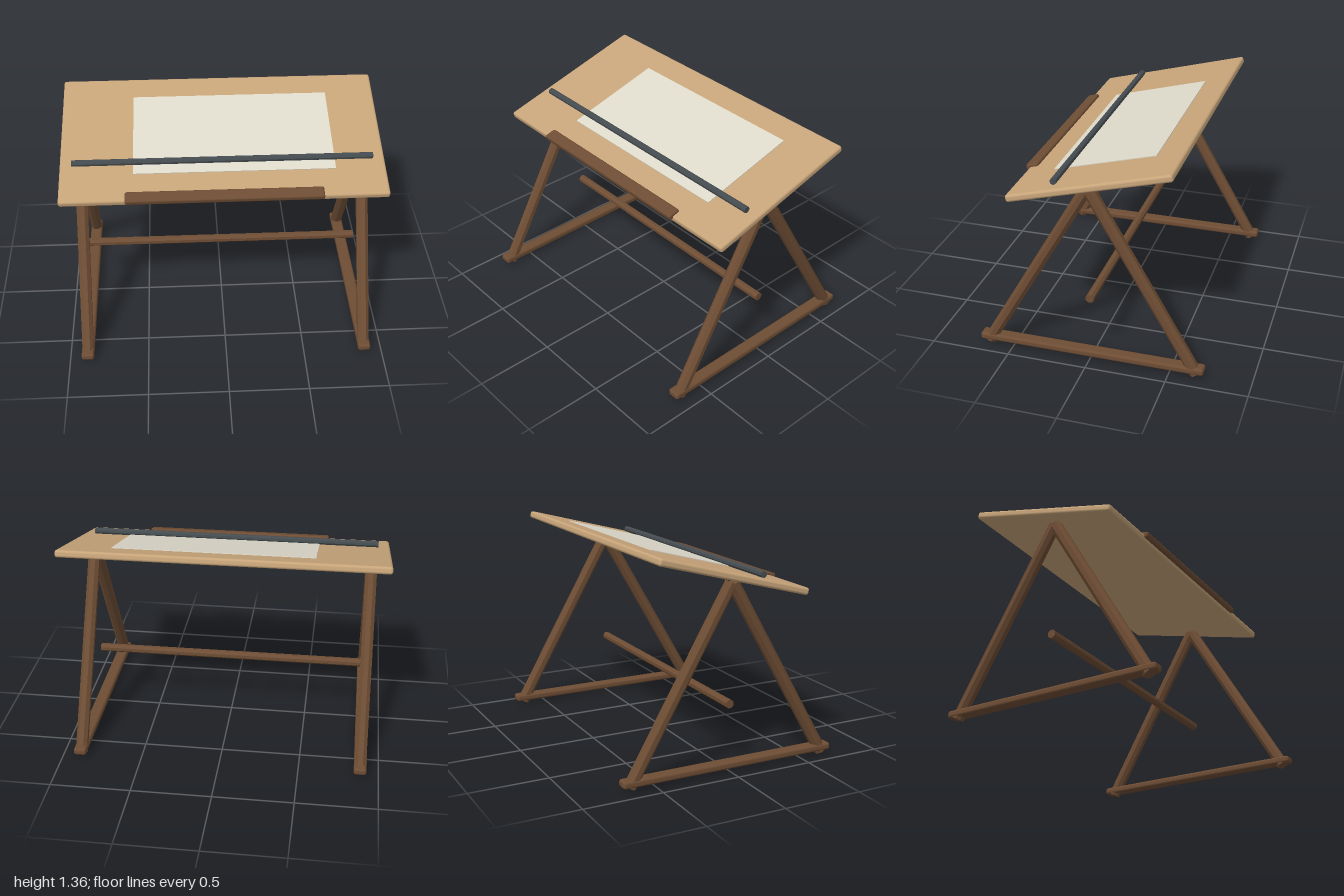
import * as THREE from 'three';
import { RoundedBoxGeometry } from 'three/addons/geometries/RoundedBoxGeometry.js';

const mat = (color, flatShading = false) => new THREE.MeshStandardMaterial({ color, flatShading });

export function createModel() {
  const model = new THREE.Group();
  const darkWood = mat(0x6e4d34);
  const darkWoodFlat = mat(0x6e4d34, true);
  const paleWood = mat(0xc8a57a);
  const paperWhite = mat(0xdedacb);
  const darkMetal = mat(0x454c50, true);

  const add = (parent, name, geometry, material, x, y, z) => {
    const mesh = new THREE.Mesh(geometry, material);
    mesh.name = name;
    mesh.position.set(x, y, z);
    parent.add(mesh);
    return mesh;
  };

  // Eight-sided rod between two points; apothem is half the width across flats
  const rod = (parent, name, a, b, apothem, material) => {
    const from = new THREE.Vector3(...a), to = new THREE.Vector3(...b);
    const dir = to.clone().sub(from);
    const geometry = new THREE.CylinderGeometry(apothem / Math.cos(Math.PI / 8), apothem / Math.cos(Math.PI / 8),
      dir.length(), 8, 1, false, Math.PI / 8);
    const mid = from.clone().add(to).multiplyScalar(0.5);
    const mesh = add(parent, name, geometry, material, mid.x, mid.y, mid.z);
    mesh.quaternion.setFromUnitVectors(new THREE.Vector3(0, 1, 0), dir.normalize());
    return mesh;
  };

  // Two A-shaped trestles, each with a floor rail
  for (const [side, x] of [['left', 0.885], ['right', -0.885]]) {
    const trestle = new THREE.Group();
    trestle.name = side + 'Trestle';
    rod(trestle, 'frontLeg', [x, 0.0185, 0.66], [x, 1.155, 0.004], 0.036, darkWoodFlat);
    rod(trestle, 'backLeg', [x, 0.0185, -0.66], [x, 1.155, -0.004], 0.036, darkWoodFlat);
    add(trestle, 'floorRail', new RoundedBoxGeometry(0.08, 0.046, 1.425, 2, 0.016), darkWood, x, 0.047, 0);
    model.add(trestle);
  }

  // Crossbar at mid height
  rod(model, 'crossbar', [-0.885, 0.42, 0], [0.885, 0.42, 0], 0.025, darkWoodFlat);

  // Tilted top: everything inside lies in the plane of the board
  const top = new THREE.Group();
  top.name = 'tiltedTop';
  top.position.set(0, 1.206, -0.031);
  top.rotation.x = THREE.MathUtils.degToRad(15);
  model.add(top);
  add(top, 'drawingBoard', new RoundedBoxGeometry(2, 0.046, 1.018, 3, 0.016), paleWood, 0, 0, 0);
  add(top, 'paperSheet', new THREE.BoxGeometry(1.24, 0.006, 0.642), paperWhite, 0.07, 0.025, -0.018);
  add(top, 'pencilLedge', new RoundedBoxGeometry(1.2, 0.038, 0.08, 2, 0.012), darkWood, 0, 0.022, 0.489);
  rod(top, 'straightedge', [-0.925, 0.042, 0.219], [0.925, 0.042, 0.219], 0.019, darkMetal);

  return model;
}
